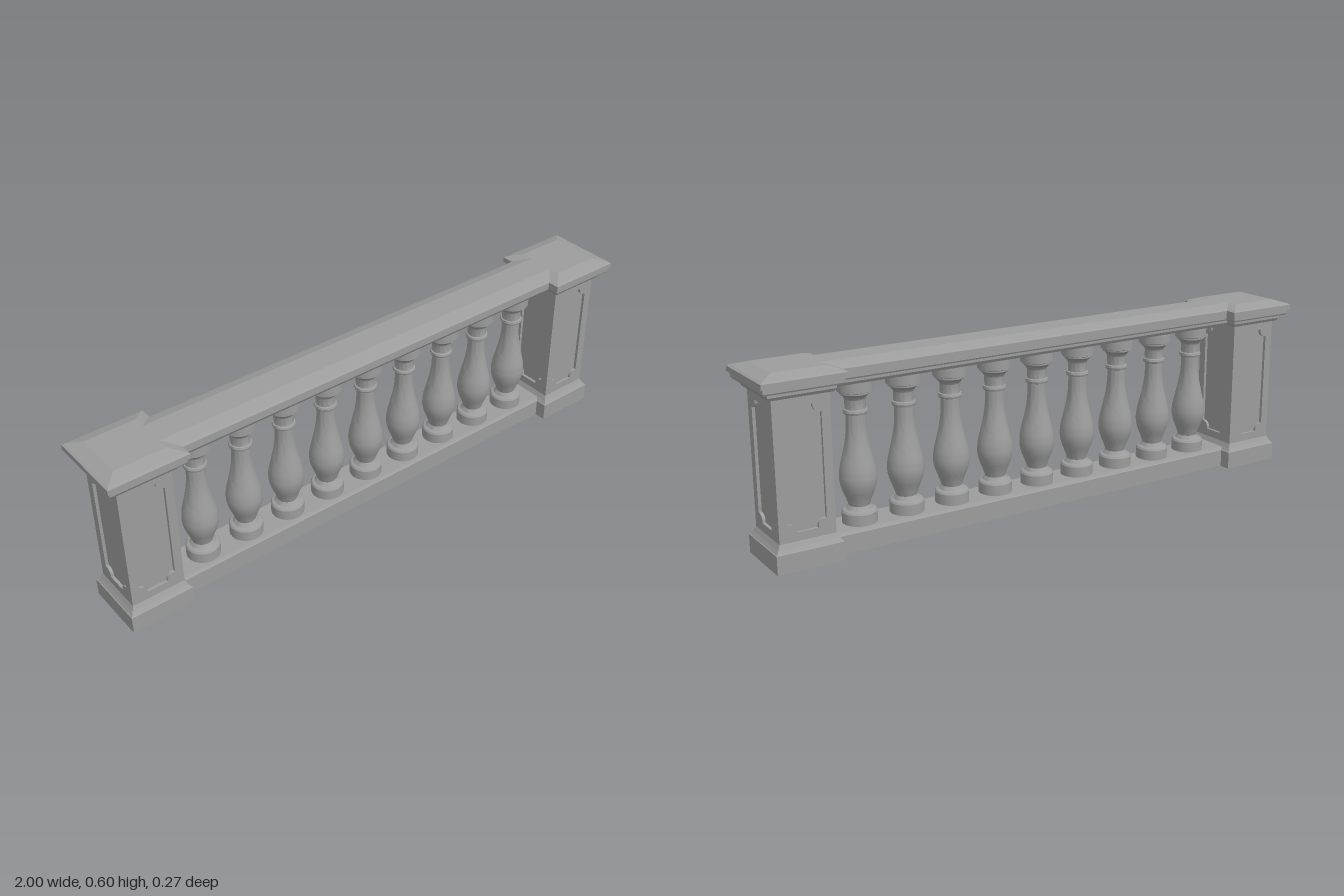
import * as THREE from 'three';
import { toCreasedNormals } from 'three/addons/utils/BufferGeometryUtils.js';

const stone = new THREE.MeshStandardMaterial({ color: 0x9c9c9c });
const flatStone = new THREE.MeshStandardMaterial({ color: 0x9c9c9c, flatShading: true });

const POST_X = 0.867, SHAFT = 0.09, RECESS = 0.01, RAIL_INSET = 0.04;

// Moulding profiles as [half width, height]
const plinth = [[0.108, 0], [0.108, 0.06], [0.105, 0.062], [0.098, 0.072], [0.09, 0.087]];
const crown = [
  [0.099, 0.523], [0.106, 0.533], [0.106, 0.546], [0.122, 0.546], [0.125, 0.551],
  [0.125, 0.566], [0.133, 0.566], [0.133, 0.583], [0.126, 0.587], [0.085, 0.6],
];

function add(parent, name, geometry, material = flatStone) {
  const mesh = new THREE.Mesh(geometry, material);
  mesh.name = name;
  parent.add(mesh);
  return mesh;
}

// Square stack: a four-sided lathe turned so its sides face the axes
function squareStack(profile) {
  const first = profile[0], last = profile[profile.length - 1];
  const pts = [[0, first[1]], ...profile, [0, last[1]]]
    .map(([h, y]) => new THREE.Vector2(h * Math.SQRT2, y));
  return new THREE.LatheGeometry(pts, 4, Math.PI / 4);
}

// Mirrored profile swept along x
function rail(profile, halfLength) {
  const right = profile.map(([h, y]) => new THREE.Vector2(h, y));
  const left = profile.map(([h, y]) => new THREE.Vector2(-h, y)).reverse();
  const geo = new THREE.ExtrudeGeometry(new THREE.Shape([...right, ...left]),
    { depth: halfLength * 2, bevelEnabled: false });
  return geo.translate(0, 0, -halfLength).rotateY(Math.PI / 2);
}

// Shaft face with a panel opening whose corners are scooped out
function panelFrame(halfWidth) {
  const shape = new THREE.Shape([
    new THREE.Vector2(-halfWidth, 0.08), new THREE.Vector2(halfWidth, 0.08),
    new THREE.Vector2(halfWidth, 0.53), new THREE.Vector2(-halfWidth, 0.53),
  ]);
  const w = 0.0615, y0 = 0.114, y1 = 0.495, r = 0.023, s = 0.004;
  const corners = [[-w, y0, 1, 1], [-w, y1, 1, -1], [w, y1, -1, -1], [w, y0, -1, 1]];
  const pts = [];
  corners.forEach(([x, y, dx, dy], i) => {
    const arc = [[r + s, 0]];
    for (let k = 0; k <= 6; k++) {
      const a = (k / 6) * Math.PI / 2;
      arc.push([s + r * Math.cos(a), s + r * Math.sin(a)]);
    }
    arc.push([0, r + s]);
    if (i % 2) arc.reverse();
    arc.forEach(([u, v]) => pts.push(new THREE.Vector2(x + dx * u, y + dy * v)));
  });
  shape.holes.push(new THREE.Path(pts));
  return new THREE.ExtrudeGeometry(shape, { depth: RECESS, bevelEnabled: false })
    .translate(0, 0, SHAFT - RECESS);
}

function createPost() {
  const post = new THREE.Group();
  add(post, 'postBase', squareStack(plinth));
  const core = (SHAFT - RECESS) * 2;
  add(post, 'postCore', new THREE.BoxGeometry(core, 0.45, core)).position.y = 0.305;
  for (let i = 0; i < 4; i++) {
    const halfWidth = i % 2 ? SHAFT - RECESS : SHAFT;
    add(post, 'panelFrame', panelFrame(halfWidth)).rotation.y = i * Math.PI / 2;
  }
  add(post, 'postCap', squareStack(crown));
  return post;
}

// Turned baluster: foot, vase-shaped belly, neck ring and capital
function balusterGeometry() {
  const v = ([r, y]) => new THREE.Vector2(r, y);
  const belly = new THREE.SplineCurve([
    [0.033, 0.126], [0.041, 0.15], [0.052, 0.178], [0.058, 0.207], [0.056, 0.24],
    [0.047, 0.28], [0.037, 0.325], [0.031, 0.37], [0.03, 0.415],
  ].map(v)).getPoints(28);
  const pts = [
    ...[[0, 0.065], [0.055, 0.065], [0.055, 0.105], [0.051, 0.111], [0.042, 0.114], [0.037, 0.12]].map(v),
    ...belly,
    ...[[0.036, 0.417], [0.038, 0.423], [0.036, 0.43], [0.032, 0.432], [0.032, 0.462],
      [0.038, 0.472], [0.048, 0.481], [0.048, 0.486], [0.055, 0.489], [0.055, 0.526], [0, 0.526]].map(v),
  ];
  return toCreasedNormals(new THREE.LatheGeometry(pts, 28), 0.55);
}

export function createModel() {
  const model = new THREE.Group();
  model.name = 'balustrade';

  // End posts
  for (const side of [1, -1]) {
    const post = createPost();
    post.name = side > 0 ? 'leftPost' : 'rightPost';
    post.position.x = side * POST_X;
    model.add(post);
  }

  // Rails repeat the post mouldings, set in from the faces
  const inset = ([h, y]) => [h - RAIL_INSET, y];
  add(model, 'handrail', rail(crown.map(inset), 0.785));
  add(model, 'bottomRail', rail([...plinth.slice(0, 3).map(inset), [0.06, 0.07]], 0.785));

  // Row of balusters
  const geo = balusterGeometry();
  for (let i = 0; i < 9; i++) {
    add(model, 'baluster', geo, stone).position.x = 0.003 + (i - 4) * 0.1635;
  }
  return model;
}
